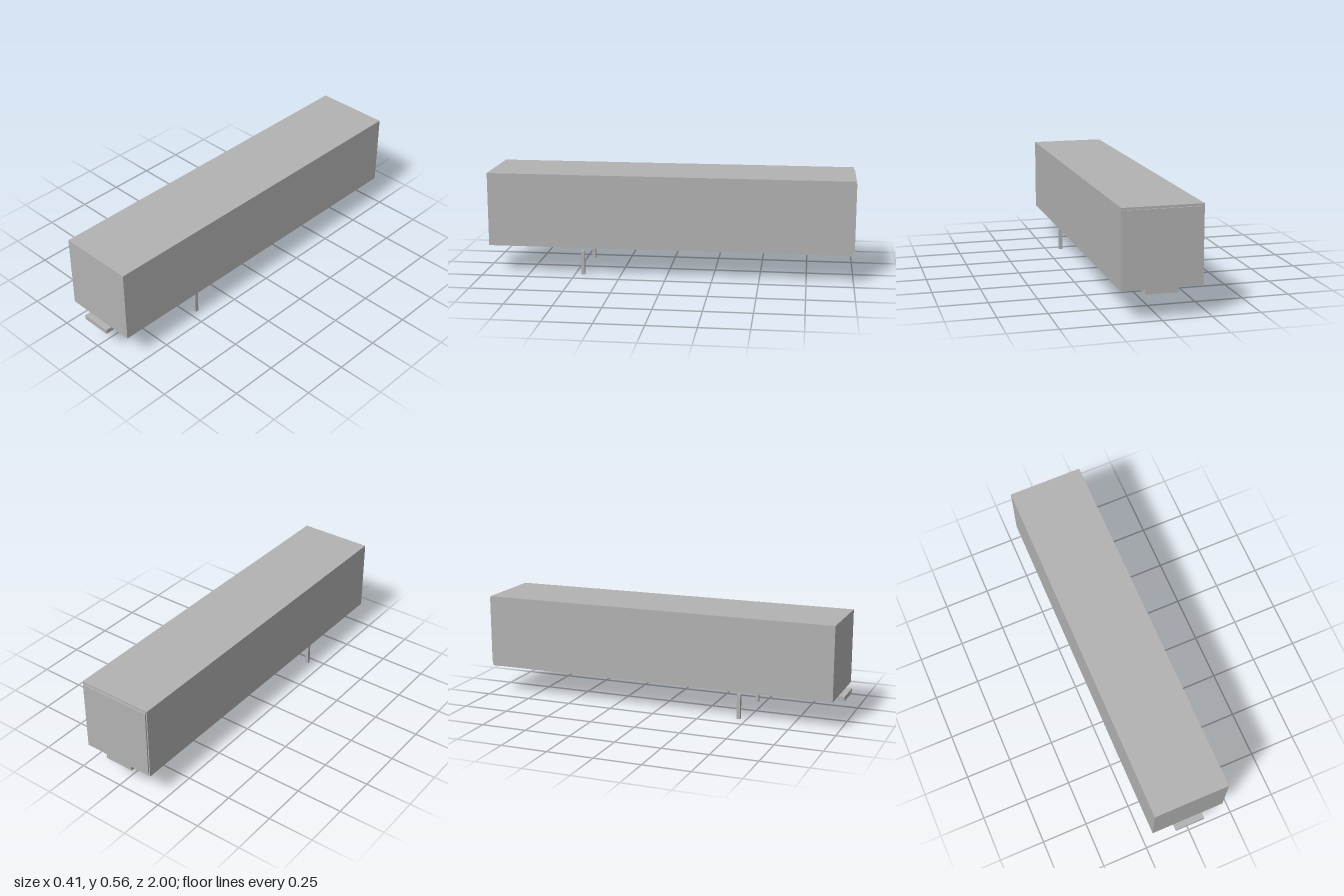
import * as THREE from 'three';

export function createModel() {
  const model = new THREE.Group();
  model.name = 'boxTrailer';

  const grey = new THREE.MeshStandardMaterial({ color: 0xb2b2b2 });
  grey.name = 'plain grey';

  // Box given by its lower and upper limits on each axis
  function block(name, [x0, x1], [y0, y1], [z0, z1]) {
    const mesh = new THREE.Mesh(new THREE.BoxGeometry(x1 - x0, y1 - y0, z1 - z0), grey);
    mesh.position.set((x0 + x1) / 2, (y0 + y1) / 2, (z0 + z1) / 2);
    mesh.name = name;
    model.add(mesh);
  }

  // Cargo box and the thin door panel on its rear face
  block('cargoBox', [-0.204, 0.204], [0.157, 0.556], [-0.993, 0.967]);
  block('rearDoor', [-0.198, 0.198], [0.18, 0.544], [-1, -0.993]);

  // Narrow spine under the floor, reaching past the front wall
  block('chassisRail', [-0.082, 0.082], [0.132, 0.157], [-0.993, 1]);

  // Pair of support legs, their tops level with the underside of the rail
  for (const [name, x] of [['leftSupportLeg', 0.164], ['rightSupportLeg', -0.164]]) {
    block(name, [x - 0.0095, x + 0.0095], [0, 0.132], [0.447, 0.466]);
  }

  return model;
}
